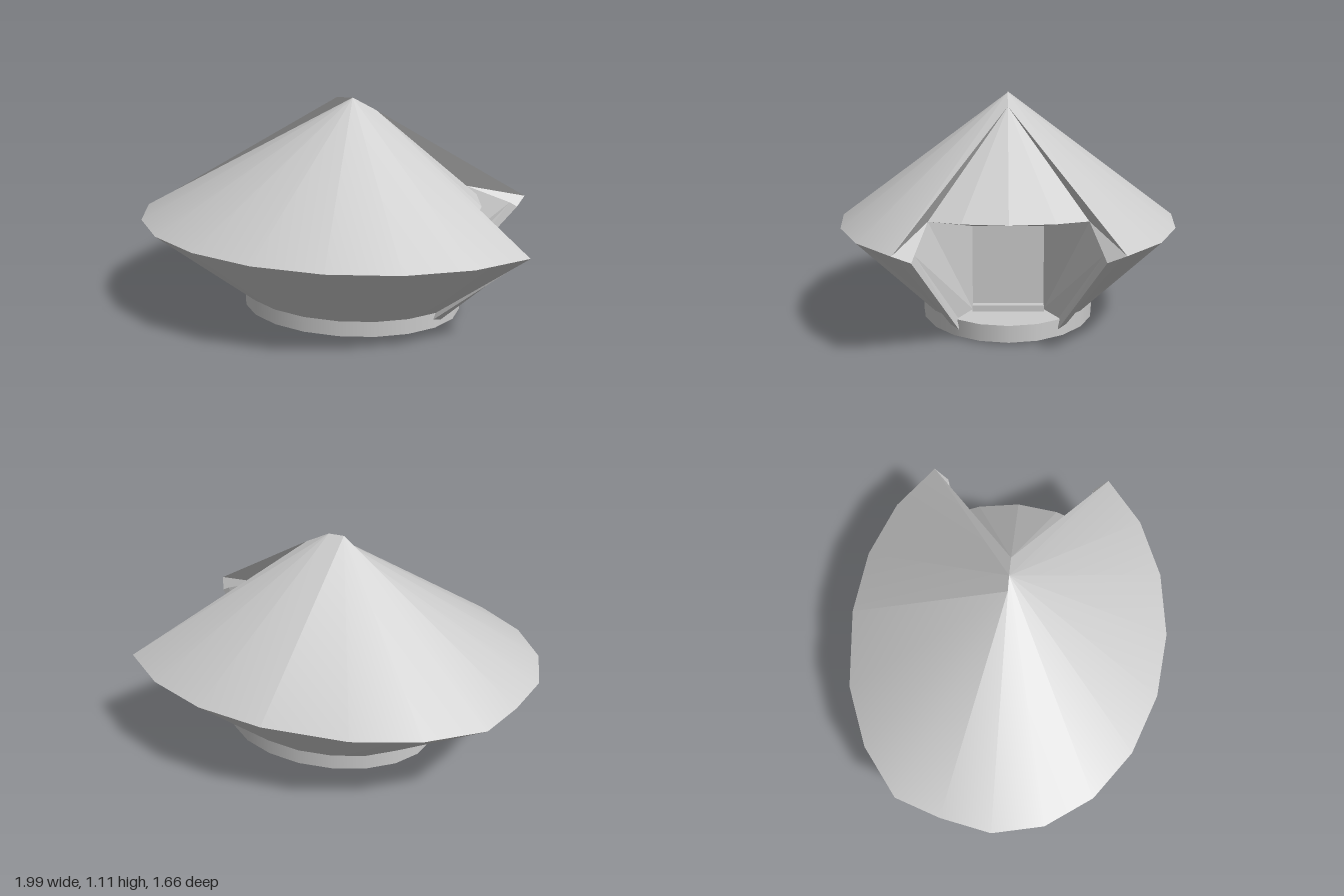
import * as THREE from 'three';

const mat = new THREE.MeshStandardMaterial({ color: 0xcccccc, side: THREE.DoubleSide });
const flat = new THREE.MeshStandardMaterial({ color: 0xcccccc, side: THREE.DoubleSide, flatShading: true });

// centre offset and half-widths of the oval plan
const CX = 0.1, RX = 1.1, RZ = 0.83, BASE = 0.518;
const RIM_Y = 0.495, TOP_Y = 1.11, RING_Y = 0.09;
const STEP = Math.PI / 10;

function add(parent, name, geometry, material = mat) {
  const mesh = new THREE.Mesh(geometry, material);
  mesh.name = name;
  parent.add(mesh);
  return mesh;
}

// Fan of triangles over a list of corners
function fan(points, closed = false) {
  const index = [];
  for (let i = 1; i < points.length - 1; i++) index.push(0, i, i + 1);
  if (closed) index.push(0, points.length - 1, 1);
  return build(points, index);
}

// Strip of quads joining two rows of points
function strip(a, b) {
  const n = a.length, index = [];
  for (let i = 0; i < n - 1; i++) index.push(i, i + 1, n + i, i + 1, n + i + 1, n + i);
  return build([...a, ...b], index);
}

function build(points, index) {
  const g = new THREE.BufferGeometry();
  g.setAttribute('position', new THREE.Float32BufferAttribute(points.flat(), 3));
  g.setIndex(index);
  g.computeVertexNormals();
  return g;
}

export function createModel() {
  const model = new THREE.Group();

  // Oval double-cone hull, open on the +x side
  const hull = new THREE.Group();
  hull.name = 'hull';
  hull.position.x = CX;
  hull.scale.set(RX, 1, RZ);
  model.add(hull);
  const start = 7 * STEP, sweep = 16 * STEP;
  add(hull, 'upperShell', new THREE.ConeGeometry(1, TOP_Y - RIM_Y, 16, 1, true, start, sweep))
    .position.y = (TOP_Y + RIM_Y) / 2;
  add(hull, 'lowerShell', new THREE.CylinderGeometry(1, BASE, RIM_Y - RING_Y, 16, 1, true, start, sweep))
    .position.y = (RIM_Y + RING_Y) / 2;

  // Base ring and foot disc
  add(hull, 'baseRing', new THREE.CylinderGeometry(BASE, BASE, 0.08, 20)).position.y = 0.05;
  add(hull, 'footDisc', new THREE.CylinderGeometry(0.435, 0.435, 0.012, 20)).position.y = 0.006;

  // Door panel slid round to the rear, standing slightly proud of the hull
  const doorRim = [], doorBase = [];
  for (let k = 0; k <= 4; k++) {
    const a = Math.PI / 2 + k * STEP, c = Math.cos(a), s = Math.sin(a);
    const shift = k > 0 && k < 4 ? -0.075 : 0;
    doorRim.push([CX + RX * c + shift, RIM_Y, -RZ * s]);
    doorBase.push([CX + RX * BASE * c, RING_Y, -RZ * BASE * s]);
  }
  const doorTop = [0.02, TOP_Y, 0], apex = [CX, TOP_Y, 0];
  add(model, 'doorUpper', fan([doorTop, ...doorRim]));
  add(model, 'doorLower', strip(doorRim, doorBase));
  for (const corner of [doorRim[0], doorRim[4]]) add(model, 'doorEdge', fan([doorTop, apex, corner]), flat);

  // Canopy inside the opening, with its ceiling running back to the inner wall
  const canopyTop = [0.22, 1.05, 0];
  const canopyRim = [[0.67, 0.575, 0.36], [0.73, 0.575, 0.21], [0.76, 0.575, 0],
    [0.73, 0.575, -0.21], [0.67, 0.575, -0.36]];
  const wallTop = [0.17, 0.085, 0, -0.085, -0.17].map(z => [0.41, 0.5, z]);
  const wallFoot = wallTop.map(p => [p[0], RING_Y, p[2]]);
  add(model, 'canopy', fan([canopyTop, ...canopyRim]), flat);
  add(model, 'ceiling', strip(canopyRim, wallTop), flat);
  add(model, 'innerWall', strip(wallTop, wallFoot), flat);
  add(model, 'sill', new THREE.BoxGeometry(0.04, 0.03, 0.34), flat).position.set(0.43, 0.105, 0);

  // Mirrored opening sides: roof edge, frame bar and jamb
  for (const m of [1, -1]) {
    const p = (x, y, z) => [x, y, z * m];
    const rim = p(CX + RX * Math.cos(2 * STEP), RIM_Y, RZ * Math.sin(2 * STEP));
    const foot = p(CX + RX * BASE * Math.cos(2 * STEP), RING_Y, RZ * BASE * Math.sin(2 * STEP));
    const canopy = p(0.67, 0.575, 0.36);
    const barOut = [p(0.97, 0.475, 0.46), p(0.55, 0.06, 0.27)];
    const barIn = [p(0.95, 0.455, 0.41), p(0.585, 0.045, 0.23)];
    const barBack = [p(0.91, 0.48, 0.4), p(0.54, 0.08, 0.23)];
    add(model, 'roofEdge', strip([apex, rim], [canopyTop, canopy]), flat);
    add(model, 'roofCorner', fan([rim, barOut[0], barIn[0], canopy]), flat);
    add(model, 'shellEdge', strip([rim, foot], barOut), flat);
    add(model, 'frameBar', strip(barOut, barIn), flat);
    add(model, 'frameBarInner', strip(barIn, barBack), flat);
    add(model, 'jamb', fan([p(0.41, RING_Y, 0.17), p(0.41, 0.525, 0.17), canopy, ...barBack]), flat);
  }

  return model;
}
